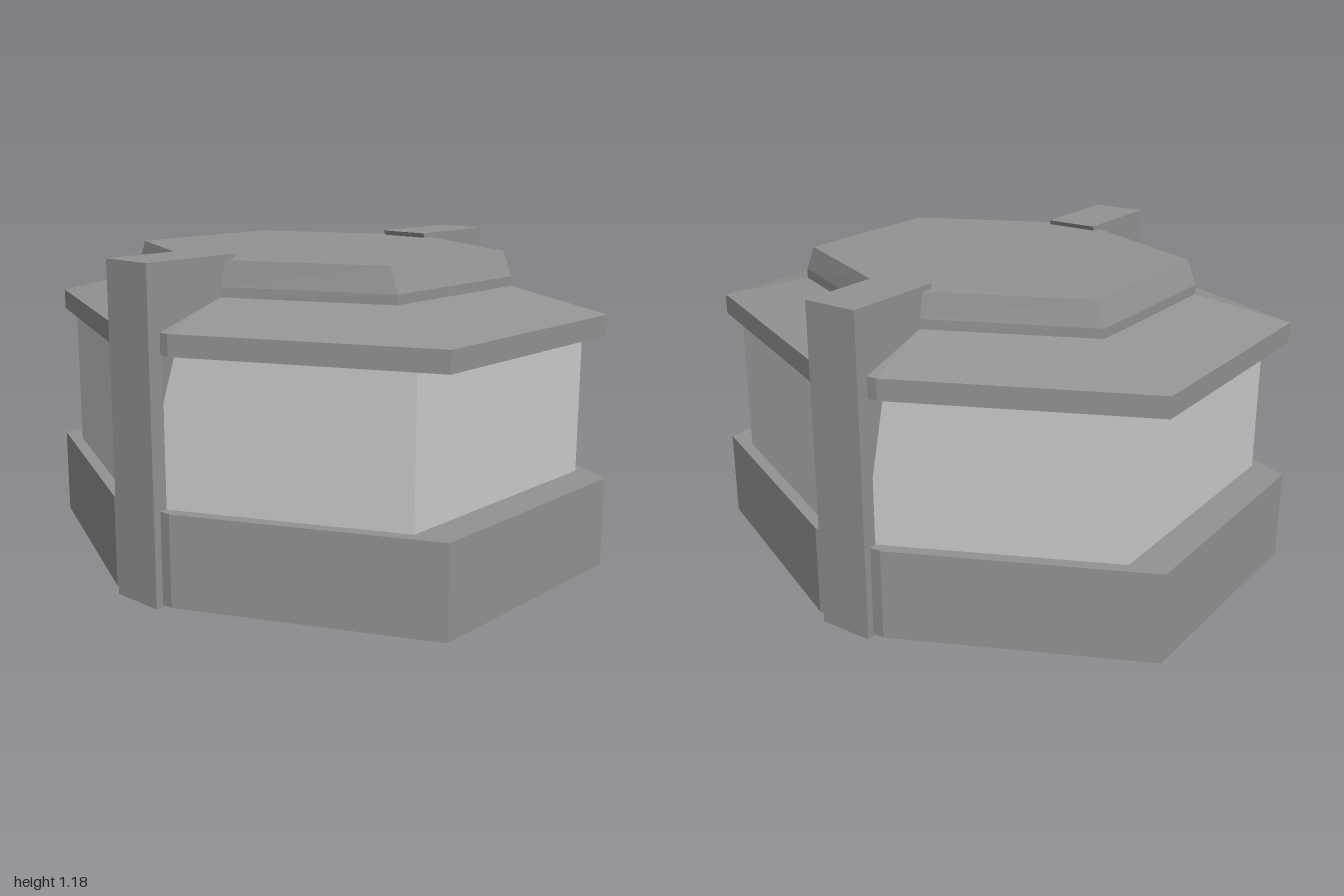
import * as THREE from 'three';

const dark = new THREE.MeshStandardMaterial({ color: 0x939393, flatShading: true, side: THREE.DoubleSide });
const light = new THREE.MeshStandardMaterial({ color: 0xcccccc, flatShading: true });

function makeMesh(name, geometry, material) {
  const mesh = new THREE.Mesh(geometry, material);
  mesh.name = name;
  return mesh;
}

function fromTriangles(positions) {
  const geometry = new THREE.BufferGeometry();
  geometry.setAttribute('position', new THREE.Float32BufferAttribute(positions, 3));
  geometry.computeVertexNormals();
  return geometry;
}

// Eight corners of a hexagon with clipped front and back points.
// ring = [y, half width, side corner z, clip half width, front z]
function corners([y, w, side, clip, front]) {
  return [[w, side], [w, -side], [clip, -front], [-clip, -front],
    [-w, -side], [-w, side], [-clip, front], [clip, front]].map(([x, z]) => [x, y, z]);
}

// Closed solid lofted through rings listed from bottom to top.
function loft(name, material, rings) {
  const positions = [];
  const tri = (a, b, c) => positions.push(...a, ...b, ...c);
  const loops = rings.map(corners);
  for (let r = 0; r < loops.length - 1; r++) {
    const lo = loops[r], hi = loops[r + 1];
    for (let i = 0; i < 8; i++) {
      const j = (i + 1) % 8;
      tri(lo[i], lo[j], hi[j]);
      tri(lo[i], hi[j], hi[i]);
    }
  }
  const bottom = loops[0], top = loops[loops.length - 1];
  for (let i = 1; i < 7; i++) {
    tri(bottom[0], bottom[i + 1], bottom[i]);
    tri(top[0], top[i], top[i + 1]);
  }
  return makeMesh(name, fromTriangles(positions), material);
}

// Upright strap whose top hooks inward over the lid.
function strap(name, turn) {
  const profile = [[0.91, 0], [0.91, 1.178], [0.52, 1.178], [0.53, 1.158], [0.6, 1.02], [0.82, 0.9], [0.82, 0]];
  const shape = new THREE.Shape(profile.map(([z, y]) => new THREE.Vector2(z, y)));
  const geometry = new THREE.ExtrudeGeometry(shape, { depth: 0.206, bevelEnabled: false });
  geometry.translate(0, 0, -0.103);
  geometry.rotateY(-Math.PI / 2 + turn);
  return makeMesh(name, geometry, dark);
}

// Thin dark wedge on the wall beside a strap, under the eave.
function gusset(sx, sz) {
  const tipY = sx > 0 ? 0.69 : 0.55;
  return makeMesh('gusset', fromTriangles([
    sx * 0.145, 0.875, sz * 0.838,
    sx * 0.1, 0.875, sz * 0.86,
    sx * 0.1, tipY, sz * 0.86,
  ]), dark);
}

export function createModel() {
  const model = new THREE.Group();
  model.name = 'hexagonalBox';
  model.add(
    loft('base', dark, [
      [0.01, 1, 0.472, 0.147, 0.882],
      [0.343, 1, 0.472, 0.147, 0.882],
    ]),
    loft('walls', light, [
      [0.335, 0.87, 0.485, 0.1, 0.856],
      [0.88, 0.87, 0.485, 0.1, 0.856],
    ]),
    // Overhanging eave with a shallow slope
    loft('roof', dark, [
      [0.872, 0.98, 0.462, 0.14, 0.862],
      [0.948, 0.98, 0.462, 0.14, 0.862],
      [1.035, 0.66, 0.327, 0.1, 0.592],
    ]),
    loft('lid', dark, [
      [1.03, 0.66, 0.327, 0.1, 0.592],
      [1.07, 0.66, 0.327, 0.1, 0.59],
      [1.16, 0.625, 0.322, 0.095, 0.573],
    ]),
    strap('frontStrap', 0),
    strap('backStrap', Math.PI),
  );
  for (const sx of [-1, 1]) for (const sz of [-1, 1]) model.add(gusset(sx, sz));
  return model;
}
